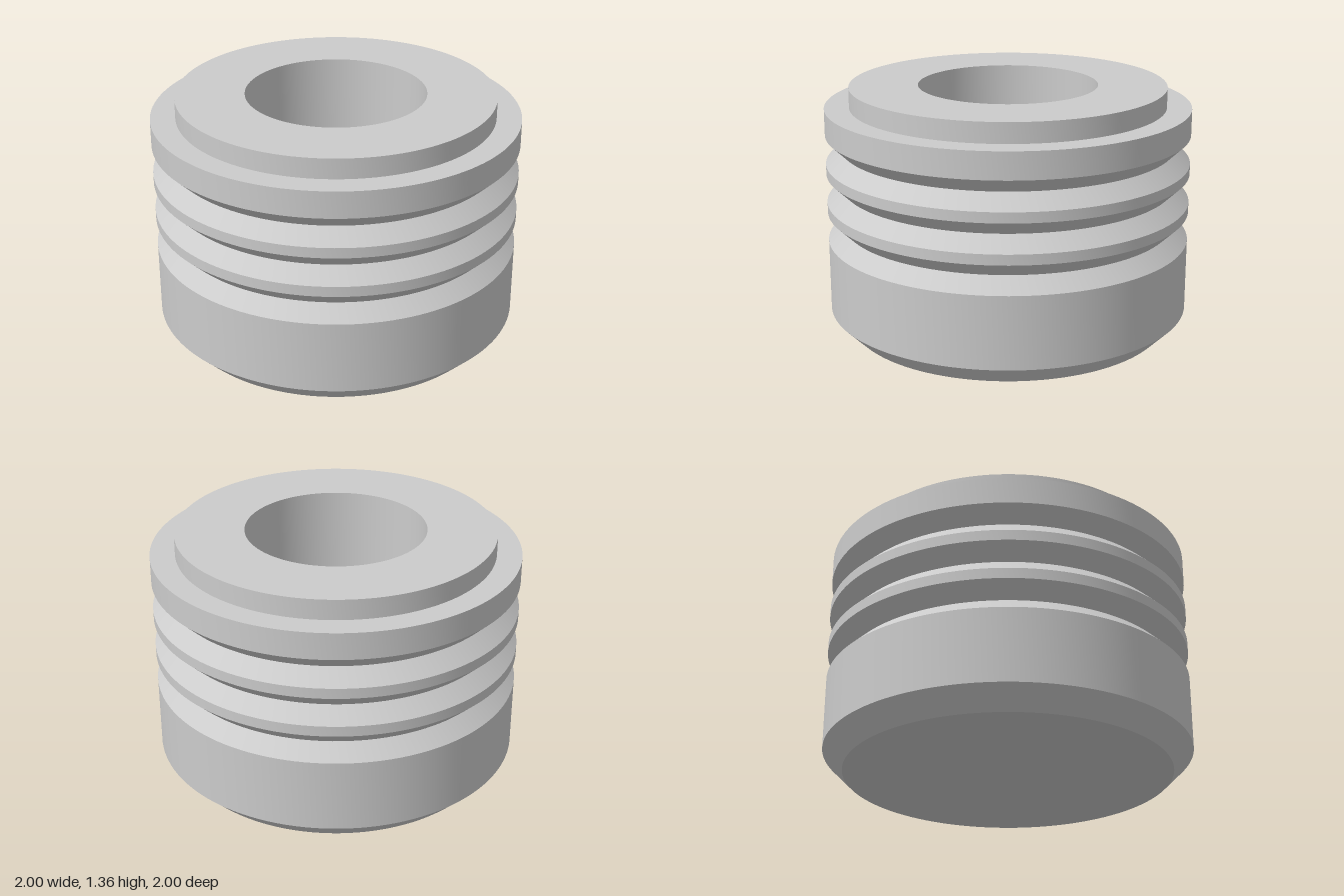
import * as THREE from 'three';
import { toCreasedNormals } from 'three/addons/utils/BufferGeometryUtils.js';

const material = new THREE.MeshStandardMaterial({ color: 0xcccccc });

// Revolve a profile, keeping its corners sharp and its round walls smooth
function turned(name, profile) {
  const points = profile.map(([r, y]) => new THREE.Vector2(r, y));
  const geometry = toCreasedNormals(new THREE.LatheGeometry(points, 128), 0.4);
  const mesh = new THREE.Mesh(geometry, material);
  mesh.name = name;
  return mesh;
}

export function createModel() {
  const group = new THREE.Group();
  group.name = 'groovedPlug';

  const R = 1, height = 1.36, boreRadius = 0.49, pilotRadius = 0.325;

  // Outer body: chamfered base, V grooves, top collar and raised rim
  const outer = [[0, 0], [0.89, 0], [R, 0.11]];
  for (let i = 0; i < 3; i++) {
    const y = 0.59 + i * 0.217;
    outer.push([R, y - 0.08], [R - 0.083, y], [R, y + 0.08]);
  }
  outer.push([R, 1.25], [0.865, 1.25], [0.865, height], [boreRadius, height]);
  group.add(turned('body', outer));

  // Blind stepped bore
  group.add(turned('bore', [
    [boreRadius, height], [boreRadius, 0.5],
    [pilotRadius, 0.5], [pilotRadius, 0.22], [0, 0.22],
  ]));

  return group;
}
